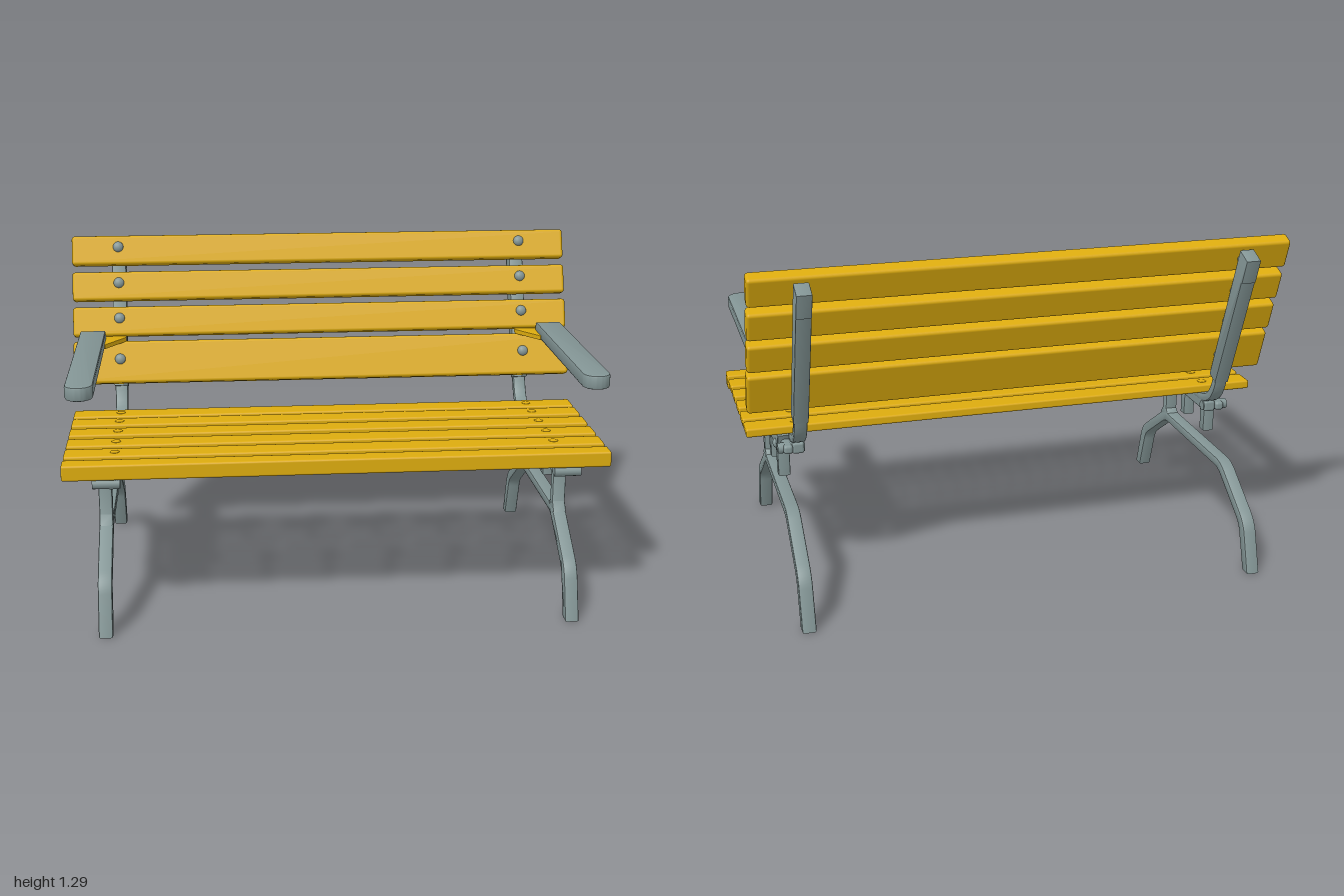
import * as THREE from 'three';
import { toCreasedNormals } from 'three/addons/utils/BufferGeometryUtils.js';
import { RoundedBoxGeometry } from 'three/addons/geometries/RoundedBoxGeometry.js';

export function createModel() {
  const yellow = new THREE.MeshStandardMaterial({ color: 0xdcab0e });
  yellow.name = 'yellow painted wood';
  const grey = new THREE.MeshStandardMaterial({ color: 0x839595 });
  grey.name = 'grey painted metal';

  const bench = new THREE.Group();
  bench.name = 'bench';

  function add(parent, name, geometry, material, x = 0, y = 0, z = 0) {
    const mesh = new THREE.Mesh(geometry, material);
    mesh.name = name;
    mesh.position.set(x, y, z);
    parent.add(mesh);
    return mesh;
  }

  const roundedBox = (w, h, d, r) => new RoundedBoxGeometry(w, h, d, 2, r);

  // Extrudes a shape with softened edges, keeping the drawn outline and the given depth
  function slab(shape, depth, bevel) {
    const g = new THREE.ExtrudeGeometry(shape, {
      depth: depth - 2 * bevel, bevelEnabled: true, bevelSize: bevel, bevelThickness: bevel,
      bevelOffset: -bevel, bevelSegments: 2, curveSegments: 12,
    });
    g.translate(0, 0, -(depth - 2 * bevel) / 2);
    return toCreasedNormals(g, 0.7);
  }

  // A slab drawn as (z, y) in profile and extruded across x
  const profile = (shape, width, bevel) => slab(shape, width, bevel).rotateY(-Math.PI / 2);

  const polygon = (points) => new THREE.Shape(points.map(([u, v]) => new THREE.Vector2(u, v)));

  // Bent bar outline: centre line with rounded corners, offset to both sides
  function bar(points, radius, widthAt) {
    const p = points.map(([u, v]) => new THREE.Vector2(u, v));
    const path = new THREE.Path().moveTo(p[0].x, p[0].y);
    for (let i = 1; i < p.length - 1; i++) {
      const before = p[i - 1].clone().sub(p[i]).setLength(radius).add(p[i]);
      const after = p[i + 1].clone().sub(p[i]).setLength(radius).add(p[i]);
      path.lineTo(before.x, before.y);
      path.quadraticCurveTo(p[i].x, p[i].y, after.x, after.y);
    }
    path.lineTo(p.at(-1).x, p.at(-1).y);
    const line = path.getPoints(8);
    const sideA = [], sideB = [];
    line.forEach((q, i) => {
      const t = line[Math.min(i + 1, line.length - 1)].clone().sub(line[Math.max(i - 1, 0)]).normalize();
      const n = new THREE.Vector2(-t.y, t.x).multiplyScalar(widthAt(t) / 2);
      sideA.push(q.clone().add(n));
      sideB.push(q.clone().sub(n));
    });
    const outline = sideA.concat(sideB.reverse());
    outline.forEach((q) => { if (q.y < 0.02) q.y = 0; }); // feet sit flat
    return new THREE.Shape(outline);
  }

  // Seat slats: [front z, back z]
  const seat = new THREE.Group();
  seat.name = 'seat';
  bench.add(seat);
  [[0.515, 0.443], [0.41, 0.316], [0.284, 0.193], [0.153, 0.065], [0.028, -0.063], [-0.086, -0.176]]
    .forEach(([front, back], i) => {
      const bottom = i === 0 ? 0.575 : 0.6, top = 0.634, z = (front + back) / 2;
      add(seat, 'seatSlat', roundedBox(2, top - bottom, front - back, 0.008), yellow, 0, (top + bottom) / 2, z);
      if (i > 0) for (const x of [-0.815, 0.815]) {
        add(seat, 'seatBolt', new THREE.SphereGeometry(0.018, 14, 8).scale(1, 0.25, 1), yellow, x, top, z);
      }
    });

  // Back slats: [y, z, height], leaning back, each with bolts and spacers
  const backrest = new THREE.Group();
  backrest.name = 'backrest';
  bench.add(backrest);
  [[1.229, -0.417, 0.117], [1.093, -0.366, 0.115], [0.96, -0.314, 0.117], [0.807, -0.252, 0.168]]
    .forEach(([y, z, height]) => {
      const slat = new THREE.Group();
      slat.name = 'backSlatAssembly';
      slat.position.set(0, y, z);
      slat.rotation.x = -0.36;
      backrest.add(slat);
      add(slat, 'backSlat', roundedBox(2, height, 0.058, 0.012), yellow);
      for (const x of [-0.815, 0.815]) {
        add(slat, 'backBolt', new THREE.SphereGeometry(0.021, 16, 10).scale(1, 1, 0.7), grey, x, 0.012, 0.029);
        add(slat, 'spacer', new THREE.CylinderGeometry(0.02, 0.02, 0.04, 14).rotateX(Math.PI / 2), grey, x, 0, -0.045);
      }
    });

  // Profiles shared by both sides
  const legShape = bar(
    [[0.577, 0], [0.519, 0.182], [0.29, 0.335], [-0.29, 0.335], [-0.519, 0.182], [-0.577, 0]],
    0.04, (t) => 0.036 + 0.012 * Math.abs(t.y));
  const bentShape = bar([[0.42, 0.586], [-0.255, 0.586], [-0.315, 0.74]], 0.1, () => 0.032);
  const uprightShape = polygon([[-0.26, 0.71], [-0.475, 1.257], [-0.54, 1.23], [-0.504, 1.138], [-0.5, 1.14], [-0.315, 0.69]]);
  const bracketShape = polygon([[0.36, 0.592], [0.3, 0.515], [-0.13, 0.515], [-0.165, 0.592]]);
  const postShape = polygon([[0.306, 0.53], [0.308, 0.37], [0.335, 0.335], [0.235, 0.335], [0.272, 0.37], [0.266, 0.53]]);
  const stubShape = polygon([[0.022, 0.54], [0.019, 0.412], [-0.019, 0.412], [-0.022, 0.54]]);

  for (const s of [1, -1]) {
    const side = new THREE.Group();
    side.name = s > 0 ? 'leftSide' : 'rightSide';
    bench.add(side);

    // Leg frame with its post and hanging stubs
    add(side, 'legFrame', profile(legShape, 0.052, 0.007), grey, s * 0.86);
    add(side, 'legPost', profile(postShape, 0.05, 0.006), grey, s * 0.86);
    for (const z of [0.102, -0.098]) add(side, 'bracketStub', profile(stubShape, 0.046, 0.006), grey, s * 0.86, 0, z);

    // Seat support and back upright
    add(side, 'seatRail', roundedBox(0.045, 0.044, 0.72, 0.01), grey, s * 0.817, 0.557, 0.14);
    add(side, 'bentRail', profile(bentShape, 0.05, 0.007), grey, s * 0.817);
    add(side, 'backUpright', profile(uprightShape, 0.056, 0.004), grey, s * 0.817);
    add(side, 'sideBracket', profile(bracketShape, 0.045, 0.006), grey, s * 0.863);
    for (const z of [0.288, 0.102, -0.098]) {
      add(side, 'bracketBolt', new THREE.SphereGeometry(0.018, 14, 10).scale(0.6, 1, 1), grey, s * 0.886, 0.541, z);
    }
    for (const z of [0.486, -0.195]) {
      add(side, 'railBolt', new THREE.CylinderGeometry(0.02, 0.02, 0.1, 14).rotateZ(Math.PI / 2), grey, s * 0.842, 0.556, z);
    }
    for (const z of [0.41, -0.175]) {
      add(side, 'railClamp', roundedBox(0.035, 0.035, 0.11, 0.012), grey, s * 0.855, 0.557, z);
    }

    // Armrest with round front, tied to the back by a corner brace
    const arm = new THREE.Shape();
    arm.moveTo(-0.05, -0.25).lineTo(0.05, -0.25).lineTo(0.05, 0.53);
    arm.absarc(0, 0.53, 0.05, 0, Math.PI, false);
    arm.lineTo(-0.05, -0.25);
    add(side, 'armrest', slab(arm, 0.052, 0.008).rotateX(Math.PI / 2), grey, s * 0.92, 0.915, 0);
    const brace = polygon([[s * 0.89, -0.15], [s * 0.89, -0.29], [s * 0.79, -0.29], [s * 0.79, -0.265], [s * 0.868, -0.15]]);
    add(side, 'armBrace', slab(brace, 0.018, 0.002).rotateX(Math.PI / 2), yellow, 0, 0.899, 0);
  }
  return bench;
}
